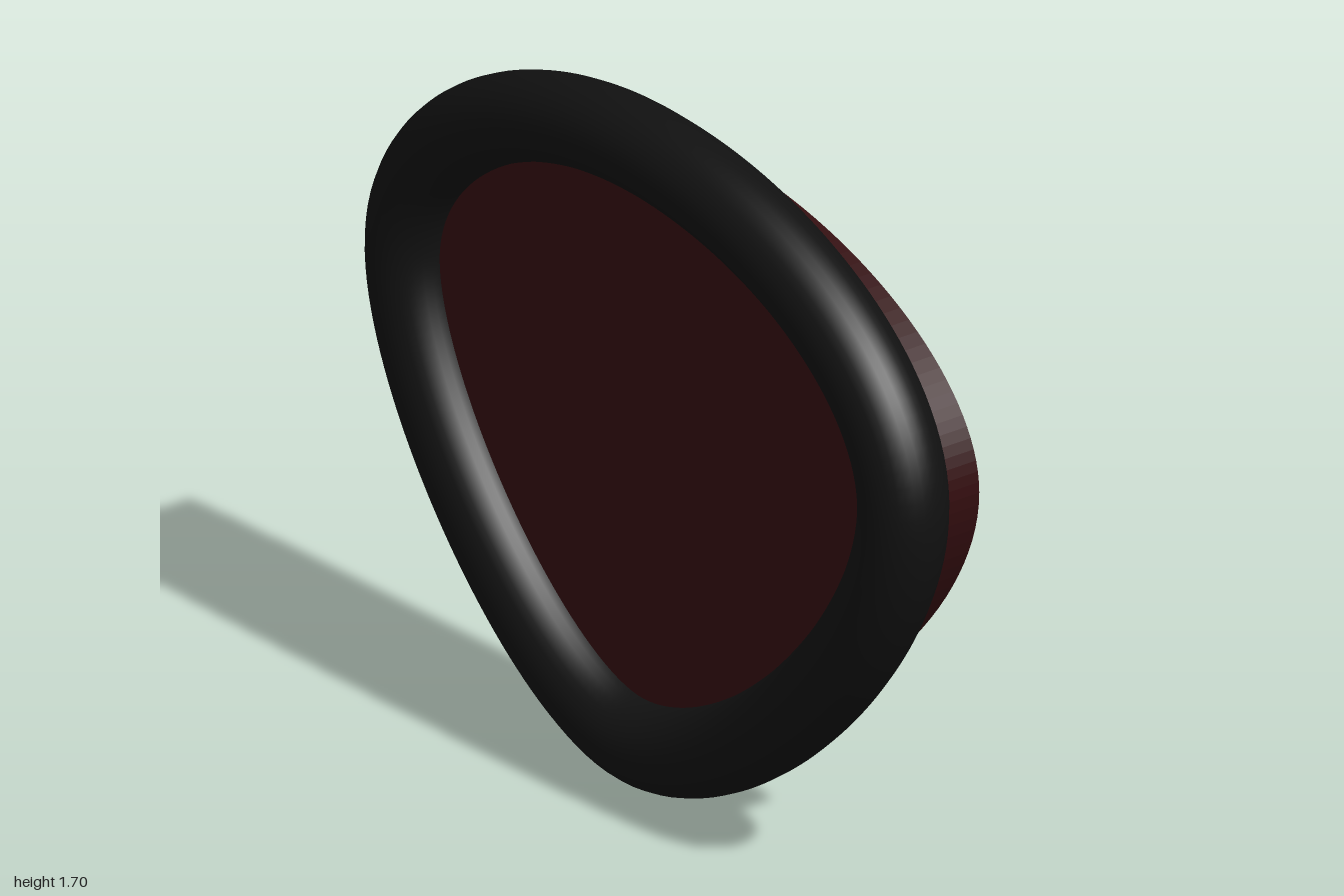
import * as THREE from 'three';

const MID_Y = 0.8525; // middle height of the outline

// Closed rounded-triangle outline: four quarter curves, drawn counter-clockwise
function outline(sx = 1, sy = 1) {
  const bottom = [-0.05, 0.105], right = [0.895, 1.04], top = [-0.05, 1.595], left = [-0.895, 1.04];
  const shape = new THREE.Shape();
  const X = (x) => x * sx;
  const Y = (y) => (y - MID_Y) * sy;
  shape.moveTo(X(bottom[0]), Y(bottom[1]));
  // kx, ky: handle lengths along the horizontal and vertical ends
  const quarter = (a, b, fromPole, kx, ky) => {
    const pole = fromPole ? a : b, side = fromPole ? b : a;
    const h1 = [pole[0] + (side[0] - pole[0]) * kx, pole[1]];
    const h2 = [side[0], side[1] + (pole[1] - side[1]) * ky];
    const [c, d] = fromPole ? [h1, h2] : [h2, h1];
    shape.bezierCurveTo(X(c[0]), Y(c[1]), X(d[0]), Y(d[1]), X(b[0]), Y(b[1]));
  };
  quarter(bottom, right, true, 0.4, 0.38);
  quarter(right, top, false, 0.54, 0.54);
  quarter(top, left, true, 0.54, 0.54);
  quarter(left, bottom, false, 0.4, 0.38);
  return shape;
}

// Closed 3D path following the outline
class RimPath extends THREE.Curve {
  constructor(shape) {
    super();
    this.shape = shape;
  }
  getPoint(t, target = new THREE.Vector3()) {
    const p = this.shape.getPoint(((t % 1) + 1) % 1);
    return target.set(p.x, p.y, 0);
  }
}

export function createModel() {
  const group = new THREE.Group();

  // Round padded rim
  const rim = new THREE.Mesh(
    new THREE.TubeGeometry(new RimPath(outline()), 160, 0.105, 32, true),
    new THREE.MeshStandardMaterial({ color: 0x111111 })
  );
  rim.name = 'rim';
  rim.position.set(0, MID_Y, 0.05);
  group.add(rim);

  // Flat panel filling the rim and standing out behind it
  const panel = new THREE.Mesh(
    new THREE.ExtrudeGeometry(outline(1.022, 0.916), { depth: 0.205, bevelEnabled: false, curveSegments: 32 }),
    new THREE.MeshStandardMaterial({ color: 0x330d0f })
  );
  panel.name = 'panel';
  panel.position.set(0, MID_Y, -0.155);
  group.add(panel);

  return group;
}
